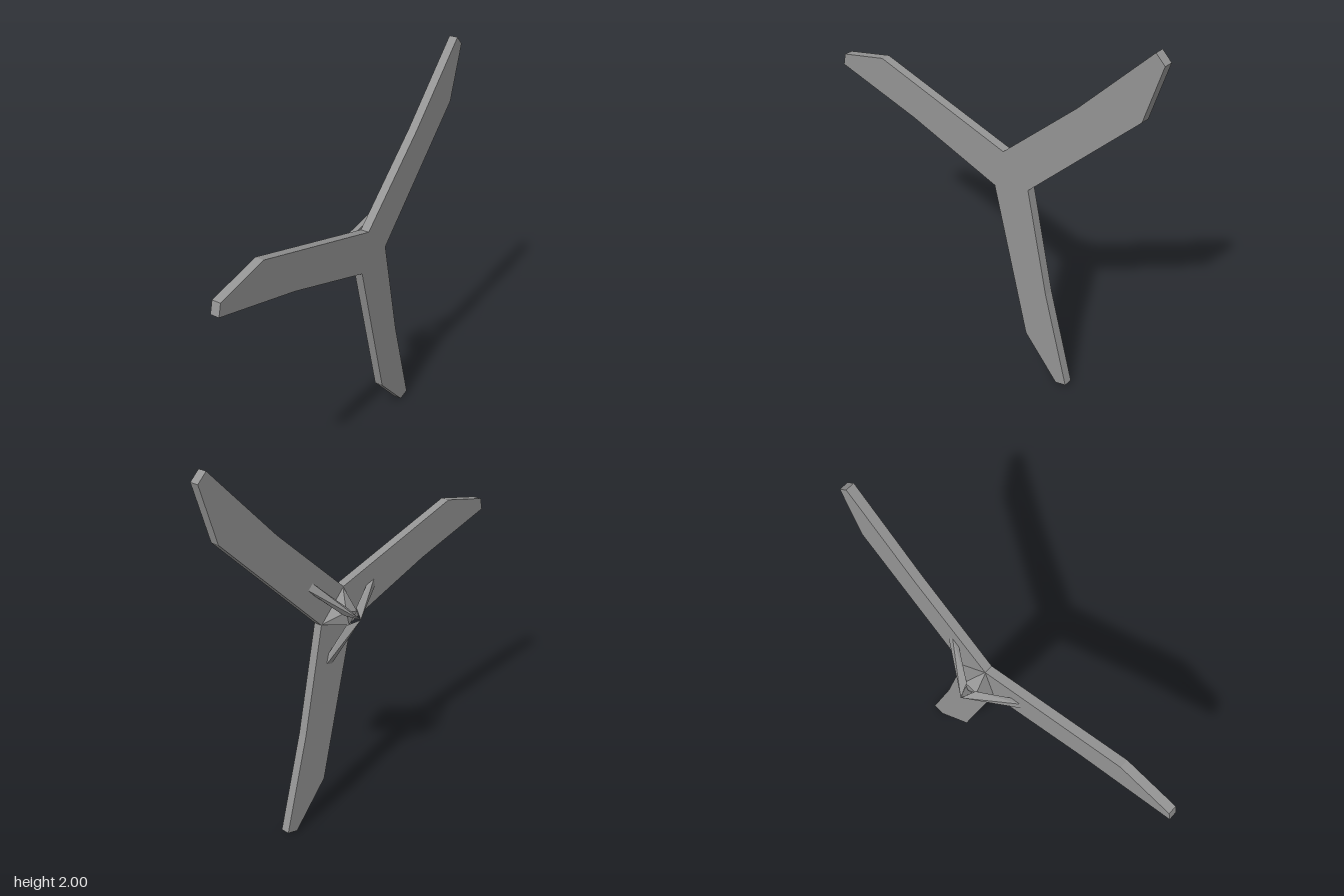
import * as THREE from 'three';
import { ConvexGeometry } from 'three/addons/geometries/ConvexGeometry.js';

const HUB_Y = 1.116, HUB_Z = -0.174;
const PLATE_X = 0.046, PLATE_T = 0.046;
const THIRD = Math.PI * 2 / 3;

// Rotor-plane offset (z, y) turned by an angle about the hub
const turn = (z, y, a) => [
  z * Math.cos(a) - y * Math.sin(a),
  z * Math.sin(a) + y * Math.cos(a),
];
const point = (x, z, y, a) => {
  const [tz, ty] = turn(z, y, a);
  return new THREE.Vector3(x, HUB_Y + ty, HUB_Z + tz);
};

export function createModel() {
  const group = new THREE.Group();
  const grey = new THREE.MeshStandardMaterial({ color: 0x949494, flatShading: true });
  grey.name = 'grey';
  const add = (geometry, name) => {
    const mesh = new THREE.Mesh(geometry, grey);
    mesh.name = name;
    group.add(mesh);
  };

  // Three-bladed plate: one blade outline (z, y from the hub) repeated by thirds
  const blade = [[0.087, -0.09], [0.632, 0.08], [1.144, 0.207], [1.129, 0.27], [0.842, 0.339]];
  const outline = [];
  for (let i = 0; i < 3; i++) {
    for (const [z, y] of blade) {
      const [tz, ty] = turn(z, y, i * THIRD);
      outline.push(new THREE.Vector2(-(HUB_Z + tz), HUB_Y + ty));
    }
  }
  const plate = new THREE.ExtrudeGeometry(new THREE.Shape(outline), { depth: PLATE_T, bevelEnabled: false });
  plate.rotateY(Math.PI / 2).translate(PLATE_X, 0, 0);
  add(plate, 'blades');

  // Tapered hub and the three struts that meet at a point behind the blades
  const legAngle = 0.25, foot = PLATE_X + 0.004;
  const hub = [];
  for (let i = 0; i < 3; i++) {
    const a = legAngle + i * THIRD;
    hub.push(point(foot, 0.087, -0.09, i * THIRD), point(-0.032, 0.045, 0, a));
    const strut = [point(-0.096, 0, 0, a)];
    for (const s of [-0.02, 0.02]) {
      strut.push(
        point(-0.032, 0.045, s, a),
        point(foot, 0.275, s, a),
        point(foot, 0.22, s, a),
      );
    }
    add(new ConvexGeometry(strut), 'strut' + (i + 1));
  }
  add(new ConvexGeometry(hub), 'hub');

  return group;
}
